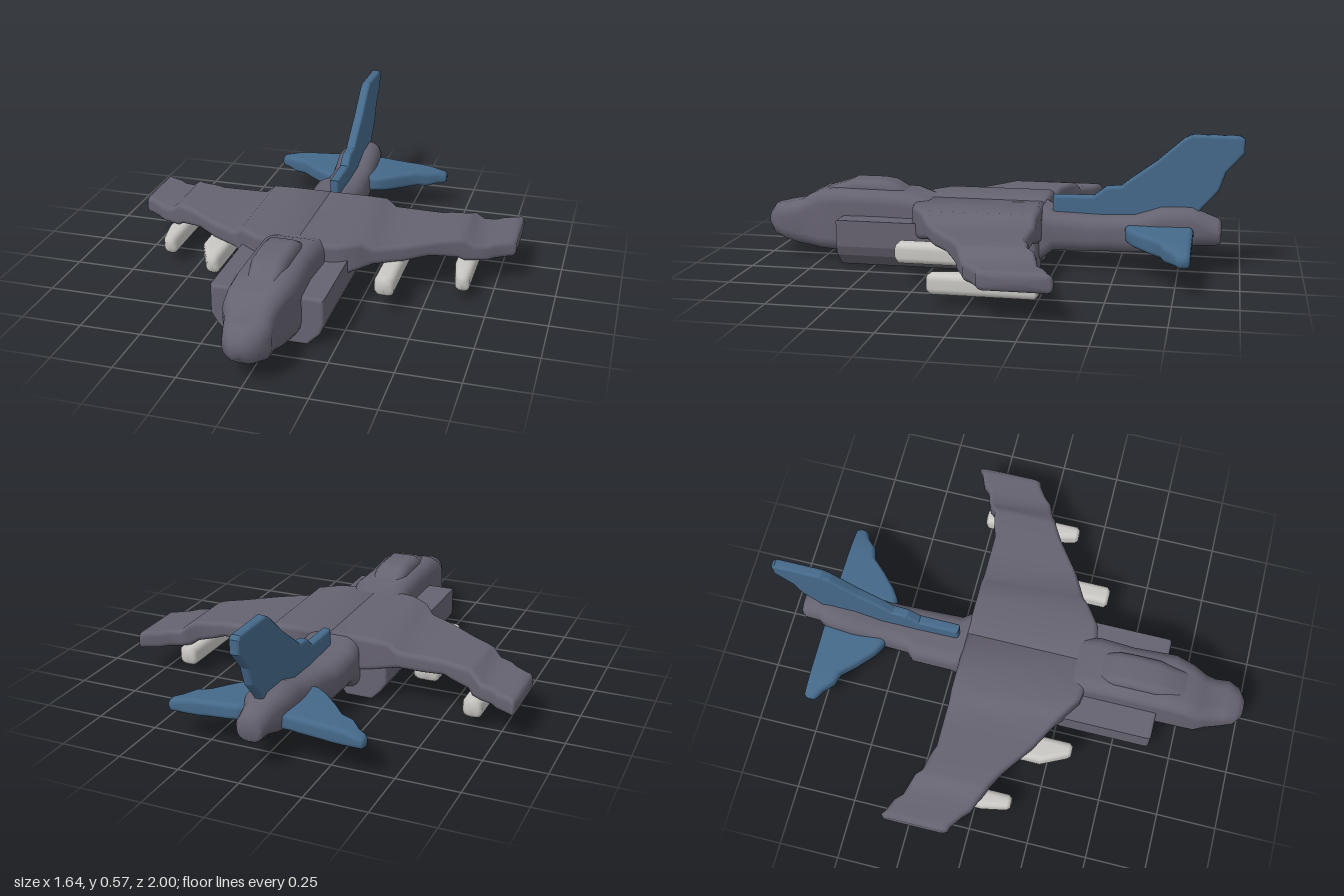
import * as THREE from 'three';

const grey = new THREE.MeshStandardMaterial({ color: 0x666371 });
grey.name = 'hull grey';
const blue = new THREE.MeshStandardMaterial({ color: 0x45698a });
blue.name = 'tail blue';
const light = new THREE.MeshStandardMaterial({ color: 0xc9c8c4 });
light.name = 'store light grey';

// Lofts rounded rectangles [w, u0, u1, v0, v1] in ascending w.
// axis 'z': u = x, v = y.  axis 'x': u = y, v = z.
function loft(axis, sections, radius) {
  const steps = 4, n = 4 * (steps + 1), pos = [], idx = [];
  const put = (u, v, w) => (axis === 'z' ? pos.push(u, v, w) : pos.push(w, u, v));
  for (const [w, u0, u1, v0, v1] of sections) {
    const r = Math.min(radius, (u1 - u0) * 0.48, (v1 - v0) * 0.48);
    for (let c = 0; c < 4; c++) {
      const cu = c === 0 || c === 3 ? u1 - r : u0 + r;
      const cv = c < 2 ? v1 - r : v0 + r;
      for (let k = 0; k <= steps; k++) {
        const a = (c + k / steps) * Math.PI / 2;
        put(cu + r * Math.cos(a), cv + r * Math.sin(a), w);
      }
    }
  }
  const last = sections.length - 1;
  for (let i = 0; i < last; i++) {
    for (let j = 0; j < n; j++) {
      const a = i * n + j, b = i * n + (j + 1) % n;
      idx.push(a, b, b + n, a, b + n, a + n);
    }
  }
  // end caps
  for (const i of [0, last]) {
    const [w, u0, u1, v0, v1] = sections[i], c = pos.length / 3;
    put((u0 + u1) / 2, (v0 + v1) / 2, w);
    for (let j = 0; j < n; j++) {
      const a = i * n + j, b = i * n + (j + 1) % n;
      if (i === 0) idx.push(c, b, a); else idx.push(c, a, b);
    }
  }
  const g = new THREE.BufferGeometry();
  g.setAttribute('position', new THREE.Float32BufferAttribute(pos, 3));
  g.setIndex(idx);
  g.computeVertexNormals();
  return g;
}

const mirrorX = (s) => s.map(([x, ...rest]) => [-x, ...rest]).reverse();

function bevelled(points, depth, bevel) {
  const shape = new THREE.Shape(points.map(([x, y]) => new THREE.Vector2(x, y)));
  const g = new THREE.ExtrudeGeometry(shape, {
    depth: depth - 2 * bevel, bevelThickness: bevel, bevelSize: bevel,
    bevelOffset: -bevel, bevelSegments: 3,
  });
  return g.translate(0, 0, bevel);
}

export function createModel() {
  const model = new THREE.Group();
  model.name = 'jet';
  const add = (name, geometry, material) => {
    const mesh = new THREE.Mesh(geometry, material);
    mesh.name = name;
    model.add(mesh);
    return mesh;
  };

  // fuselage, tail to nose
  add('fuselage', loft('z', [
    [-0.92, -0.045, 0.045, 0.13, 0.215],
    [-0.905, -0.058, 0.055, 0.118, 0.23],
    [-0.84, -0.06, 0.06, 0.115, 0.255],
    [-0.80, -0.09, 0.075, 0.115, 0.275],
    [-0.68, -0.1, 0.085, 0.09, 0.272],
    [-0.57, -0.095, 0.085, 0.08, 0.235],
    [-0.44, -0.1, 0.09, 0.08, 0.23],
    [-0.41, -0.13, 0.09, 0.08, 0.23],
    [-0.24, -0.13, 0.095, 0.075, 0.235],
    [-0.19, -0.13, 0.12, 0.04, 0.265],
    [0.28, -0.13, 0.12, 0.04, 0.27],
    [0.36, -0.13, 0.12, 0.04, 0.30],
    [0.50, -0.13, 0.11, 0.04, 0.305],
    [0.68, -0.13, 0.12, 0.04, 0.305],
    [0.76, -0.13, 0.10, 0.04, 0.295],
    [0.82, -0.13, 0.08, 0.045, 0.265],
    [0.86, -0.11, 0.08, 0.05, 0.24],
    [0.92, -0.095, 0.09, 0.07, 0.23],
    [0.97, -0.08, 0.07, 0.085, 0.22],
    [1.0, -0.045, 0.03, 0.115, 0.185],
  ], 0.055), grey);

  // canopy hump
  add('canopy', loft('z', [
    [0.38, -0.07, 0.05, 0.25, 0.295],
    [0.45, -0.085, 0.06, 0.25, 0.335],
    [0.50, -0.085, 0.06, 0.25, 0.342],
    [0.62, -0.085, 0.06, 0.25, 0.342],
    [0.66, -0.08, 0.055, 0.25, 0.325],
    [0.74, -0.07, 0.05, 0.25, 0.30],
  ], 0.035), grey);

  // air intakes along the belly
  const leftIntake = [[0.035, 0.05], [0.055, 0], [0.14, 0], [0.19, 0.05], [0.205, 0.09], [0.205, 0.2], [0.035, 0.2]];
  const rightIntake = [[-0.035, 0.05], [-0.035, 0.2], [-0.245, 0.2], [-0.245, 0.08], [-0.22, 0.04], [-0.18, 0], [-0.065, 0]];
  add('leftIntake', bevelled(leftIntake, 0.84, 0.012).translate(0, 0, -0.19), grey);
  add('rightIntake', bevelled(rightIntake, 0.84, 0.012).translate(0, 0, -0.19), grey);

  // swept wings, stepping down toward the tips
  const wing = [
    [0, 0.10, 0.27, -0.2, 0.36],
    [0.17, 0.13, 0.27, -0.2, 0.33],
    [0.25, 0.15, 0.268, -0.2, 0.275],
    [0.29, 0.16, 0.235, -0.2, 0.245],
    [0.40, 0.16, 0.233, -0.2, 0.185],
    [0.49, 0.165, 0.232, -0.2, 0.12],
    [0.53, 0.155, 0.232, -0.215, 0.09],
    [0.60, 0.14, 0.23, -0.23, 0.05],
    [0.625, 0.125, 0.225, -0.255, 0.04],
    [0.66, 0.12, 0.195, -0.27, 0.02],
    [0.71, 0.118, 0.192, -0.285, 0.0],
    [0.74, 0.118, 0.19, -0.315, -0.03],
    [0.79, 0.116, 0.19, -0.335, -0.065],
    [0.81, 0.118, 0.188, -0.35, -0.07],
    [0.82, 0.13, 0.175, -0.34, -0.085],
  ];
  add('leftWing', loft('x', wing, 0.022), grey);
  add('rightWing', loft('x', mirrorX(wing), 0.022), grey);

  // tail fin with its forward spine, drawn as (-z, y)
  const fin = bevelled([
    [0.23, 0.21], [0.80, 0.21], [0.84, 0.27], [0.905, 0.345], [0.93, 0.42], [1.0, 0.5], [1.0, 0.555], [0.985, 0.57],
    [0.79, 0.57], [0.755, 0.55], [0.65, 0.455], [0.56, 0.39], [0.51, 0.35], [0.45, 0.345], [0.40, 0.305], [0.23, 0.302],
  ], 0.042, 0.012);
  add('tailFin', fin.translate(0, 0, -0.021).rotateY(Math.PI / 2), blue);

  // drooping tailplanes
  const tailplane = [
    [0.04, 0.135, 0.205, -0.81, -0.53],
    [0.11, 0.135, 0.202, -0.81, -0.54],
    [0.15, 0.13, 0.198, -0.81, -0.565],
    [0.22, 0.125, 0.193, -0.81, -0.63],
    [0.27, 0.12, 0.19, -0.81, -0.685],
    [0.32, 0.118, 0.185, -0.81, -0.70],
    [0.36, 0.118, 0.175, -0.81, -0.74],
    [0.39, 0.118, 0.168, -0.81, -0.755],
    [0.40, 0.125, 0.16, -0.80, -0.765],
  ];
  add('leftTailplane', loft('x', tailplane, 0.02), blue);
  add('rightTailplane', loft('x', mirrorX(tailplane), 0.02), blue);

  // underwing stores: [name, x, width, bottom, top, back, front, nose offset]
  const stores = [
    ['leftInnerStore', 0.36, 0.08, 0.08, 0.165, -0.10, 0.345, 0],
    ['rightInnerStore', -0.38, 0.11, 0.08, 0.165, -0.10, 0.345, 0.025],
    ['leftOuterStore', 0.628, 0.08, 0.042, 0.125, -0.27, 0.15, 0.01],
    ['rightOuterStore', -0.63, 0.08, 0.042, 0.125, -0.27, 0.15, 0.01],
  ];
  for (const [name, x, w, y0, y1, z0, z1, shift] of stores) {
    const h = w / 2;
    add(name, loft('z', [
      [z0, x - h + 0.012, x + h - 0.012, y0 + 0.012, y1 - 0.012],
      [z0 + 0.012, x - h, x + h, y0, y1],
      [z1 - 0.12, x - h, x + h, y0, y1],
      [z1 - 0.015, x - h + shift * 2, x + h, y0, y1],
      [z1, x - h + 0.012 + shift * 2, x + h - 0.012, y0 + 0.012, y1 - 0.012],
    ], 0.025), light);
  }

  return model;
}
